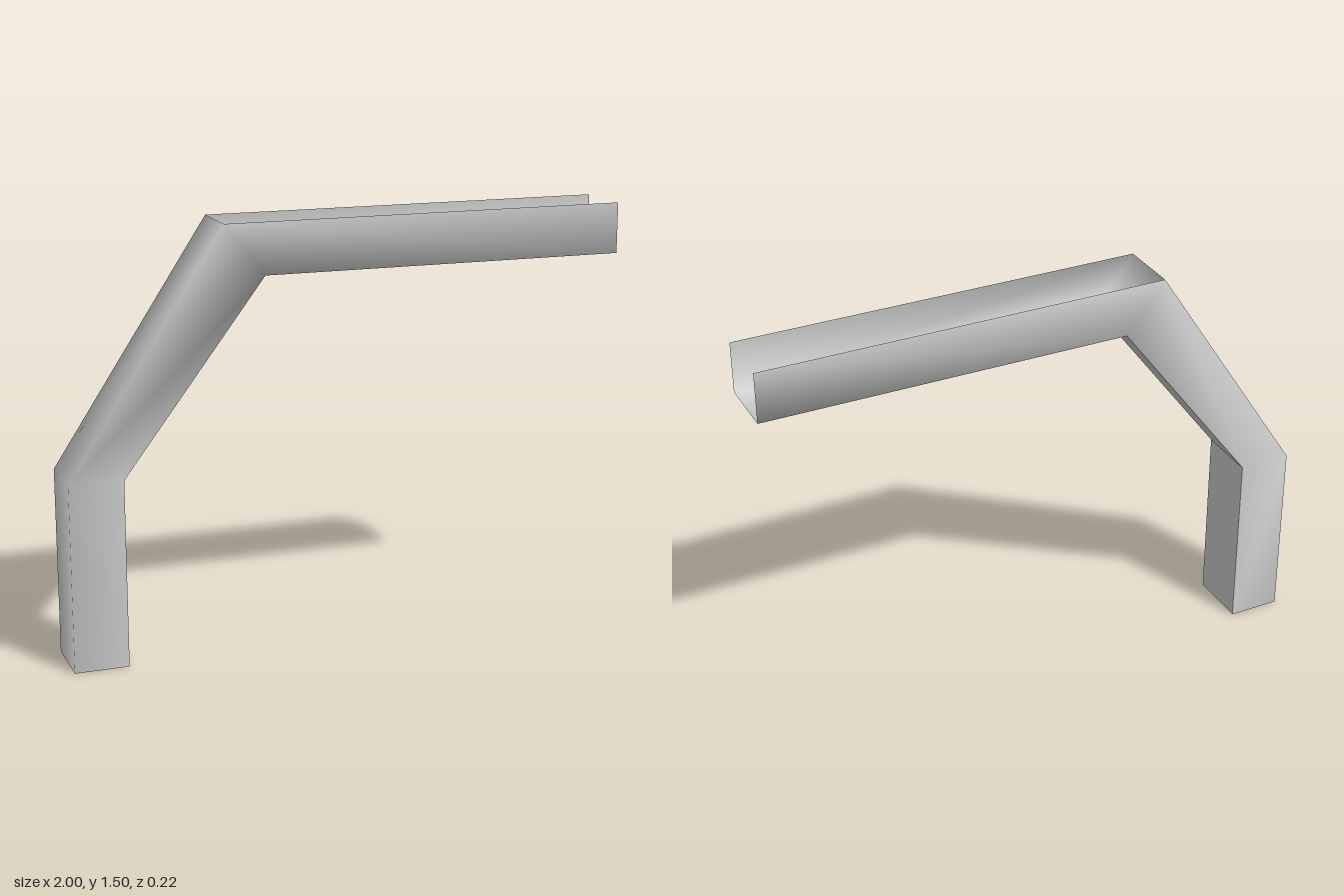
import * as THREE from 'three';

const HALF_DEPTH = 0.111;

// Side profile stations: upright foot, lower bend, upper bend, open channel end
const OUTER = [[-1, 0], [-1, 0.66], [-0.45, 1.5], [1, 1.5]];
const INNER = [[-0.81, 0], [-0.81, 0.66], [-0.31, 1.32], [1, 1.32]];

// Sheet built from corner loops; each wall is [station, corner, next corner].
// Corners: 0 outer back, 1 outer front, 2 inner front, 3 inner back
function sheet(walls) {
  const points = [], index = [];
  OUTER.forEach((outer, i) => {
    const inner = INNER[i];
    points.push(
      ...outer, -HALF_DEPTH, ...outer, HALF_DEPTH,
      ...inner, HALF_DEPTH, ...inner, -HALF_DEPTH,
    );
  });
  for (const [station, p, q] of walls) {
    const a = station * 4 + p, b = station * 4 + q;
    index.push(a, b, b + 4, a, b + 4, a + 4);
  }
  const geometry = new THREE.BufferGeometry();
  geometry.setAttribute('position', new THREE.Float32BufferAttribute(points, 3));
  geometry.setIndex(index);
  geometry.computeVertexNormals();
  return geometry;
}

export function createModel() {
  const group = new THREE.Group();
  group.name = 'bentChannel';
  const metal = new THREE.MeshStandardMaterial({ color: 0xcccccc, side: THREE.DoubleSide });
  metal.name = 'light grey metal';

  const add = (name, walls) => {
    const mesh = new THREE.Mesh(sheet(walls), metal);
    mesh.name = name;
    group.add(mesh);
  };

  // Smooth outer skin: side walls all along, outer wall up to the open channel, channel floor
  const skin = [];
  for (let i = 0; i < 3; i++) {
    skin.push([i, 1, 2], [i, 3, 0]);
    if (i < 2) skin.push([i, 0, 1]);
  }
  skin.push([2, 2, 3]);
  add('channelSkin', skin);

  // Crisp inner walls closing the upright and sloping tubes
  add('uprightInnerWall', [[0, 2, 3]]);
  add('slopeInnerWall', [[1, 2, 3]]);

  return group;
}
